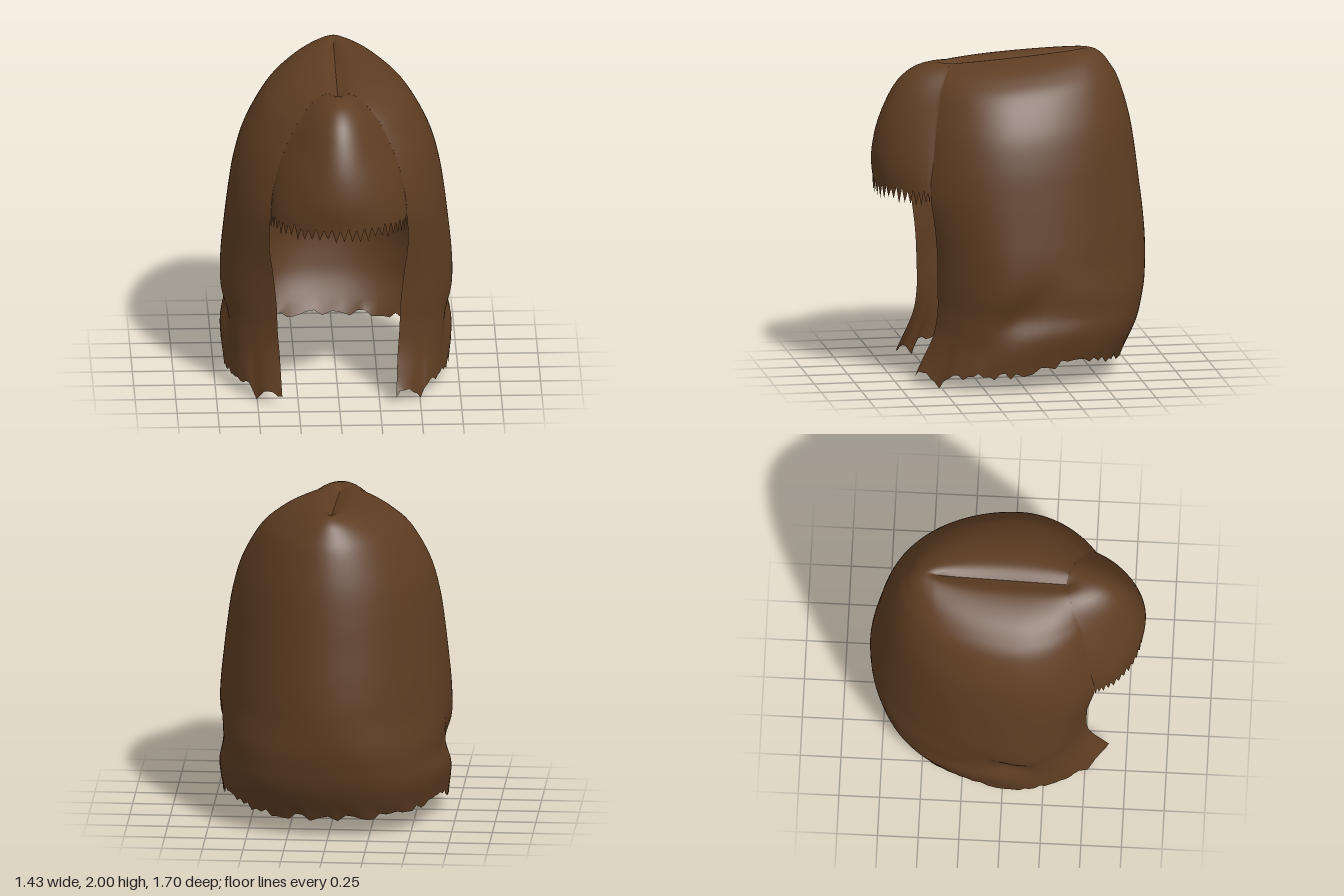
import * as THREE from 'three';

const hairBrown = new THREE.MeshStandardMaterial({ color: 0x5e3d22, side: THREE.DoubleSide });
hairBrown.name = 'hairBrown';

// Levels from the parting down to the hem: [y, half width, back z, opening half width, opening z]
const LEVELS = [
  [1.972, 0, -0.4, 0, 0.36],
  [2.0, 0.1, -0.5, 0.07, 0.375],
  [1.968, 0.25, -0.575, 0.145, 0.405],
  [1.9, 0.375, -0.63, 0.212, 0.44],
  [1.8, 0.475, -0.685, 0.272, 0.47],
  [1.6, 0.58, -0.745, 0.352, 0.51],
  [1.4, 0.635, -0.78, 0.4, 0.535],
  [1.2, 0.666, -0.805, 0.42, 0.555],
  [1.0, 0.69, -0.83, 0.425, 0.53],
  [0.8, 0.71, -0.845, 0.4, 0.51],
  [0.6, 0.715, -0.84, 0.38, 0.505],
  [0.45, 0.7, -0.815, 0.375, 0.505],
  [0.3, 0.715, -0.775, 0.365, 0.535],
  [0.1, 0.69, -0.68, 0.35, 0.64],
];
const curve = (pts) => new THREE.CatmullRomCurve3(pts.map((p) => new THREE.Vector3(...p)), false, 'catmullrom', 0.5);
const outerCurve = curve(LEVELS.map((l) => [l[1], l[0], l[2]]));
const openingCurve = curve(LEVELS.map((l) => [l[3], l[0], l[4]]));

// Hem height from the middle of the back (0) to the front edge (1)
const HEM = [[0, 0.12], [0.2, 0.125], [0.32, 0.15], [0.42, 0.18], [0.46, 0.15], [0.55, 0.1],
  [0.84, 0.08], [0.875, 0], [0.91, 0.06], [1, 0.065]];
function hemHeight(s) {
  const i = Math.max(1, HEM.findIndex((h) => h[0] >= s - 1e-6));
  const [s0, y0] = HEM[i - 1], [s1, y1] = HEM[i];
  return y0 + (y1 - y0) * (s - s0) / (s1 - s0);
}
const jitter = (n) => {
  const v = Math.sin(n * 12.9898 + 4.1) * 43758.5453;
  return v - Math.floor(v) - 0.5;
};
const { clamp, smoothstep } = THREE.MathUtils;
const bump = (d, w) => Math.exp(-(d * d) / (w * w));

// Point on the long hair: s runs -1..1 around the head (0 = back), t runs 0..1 from parting to hem
function shellPoint(s, t, column = 0) {
  const o = outerCurve.getPoint(t), e = openingCurve.getPoint(t);
  const W = Math.max(o.x, 0), q = Math.abs(s), mid = 0.05;
  let x, z;
  if (q <= 0.55) {
    // the back corners are fuller near the hem
    const a = (q / 0.55) * Math.PI / 2;
    const power = 0.86 + 0.17 * smoothstep(o.y, 0.4, 0.8);
    x = W * Math.sin(a) ** power;
    z = mid + (o.z - mid) * Math.max(Math.cos(a), 0) ** power;
  } else {
    const end = Math.acos(W > 0.001 ? clamp(e.x / W, 0, 0.75) : 0.6);
    const b = ((q - 0.55) / 0.45) * end;
    x = W * Math.cos(b);
    z = mid + (e.z - mid) * Math.sin(b) / Math.sin(end);
  }
  // the crown slopes down towards the front
  let y = o.y - 0.06 * clamp((z + 0.45) / 0.83, 0, 1) * clamp((o.y - 1.3) / 0.6, 0, 1);
  // diagonal fold low on each side
  const along = clamp((0.25 - z) / 0.35, 0, 1);
  x -= 0.035 * bump(y - (0.27 + 0.3 * along), 0.12) * bump(z - 0.1, 0.28);
  // uneven hem
  const low = clamp(1 - (o.y - 0.1) / 0.35, 0, 1);
  const rough = Math.abs(q - 0.875) < 0.03 ? 0 : 0.045 * jitter(column);
  y += (hemHeight(q) - 0.1) * low + rough * clamp(1 - (o.y - 0.1) / 0.06, 0, 1);
  return new THREE.Vector3(Math.sign(s) * x, y, z);
}

// Smooth sheet from a rule giving the point at each row and column
function sheet(name, rows, cols, point) {
  const pos = [], index = [];
  for (let i = 0; i <= rows; i++) {
    for (let j = 0; j <= cols; j++) {
      pos.push(...point(i, j).toArray());
      if (i === rows || j === cols) continue;
      const a = i * (cols + 1) + j, b = a + cols + 1;
      index.push(a, a + 1, b, a + 1, b + 1, b);
    }
  }
  const geo = new THREE.BufferGeometry();
  geo.setAttribute('position', new THREE.Float32BufferAttribute(pos, 3));
  geo.setIndex(index);
  geo.computeVertexNormals();
  const mesh = new THREE.Mesh(geo, hairBrown);
  mesh.name = name;
  return mesh;
}

export function createModel() {
  const group = new THREE.Group();
  group.name = 'hair';

  // Long hair with a centre parting, open at the front
  const ROWS = 65, COLS = 96;
  group.add(sheet('longHair', ROWS, COLS, (i, j) => shellPoint((j / COLS) * 2 - 1, i / ROWS, j)));

  // Rounded fringe between the two front edges, with a toothed hem
  const ridge = curve([[0, 1.912, 0.36], [0, 1.945, 0.45], [0, 1.915, 0.585], [0, 1.83, 0.69],
    [0, 1.7, 0.765], [0, 1.55, 0.82], [0, 1.4, 0.847], [0, 1.3, 0.847], [0, 1.21, 0.835]]);
  const FR = 24, FC = 52, bottom = 7 / (LEVELS.length - 1);
  group.add(sheet('fringe', FR, FC, (i, j) => {
    const v = i / FR;
    const edge = shellPoint(1, v * bottom);
    const centre = ridge.getPoint(v);
    const b = ((j / FC) * 2 - 1) * Math.PI / 2;
    const c = Math.max(Math.cos(b), 0);
    const p = new THREE.Vector3(-edge.x * Math.sin(b),
      edge.y + (centre.y - edge.y) * c, edge.z + (centre.z - edge.z) * c ** 1.35);
    if (i === FR) p.y = (j % 2 ? 1.14 : 1.22) + 0.03 * jitter(j + 200);
    return p;
  }));
  return group;
}
